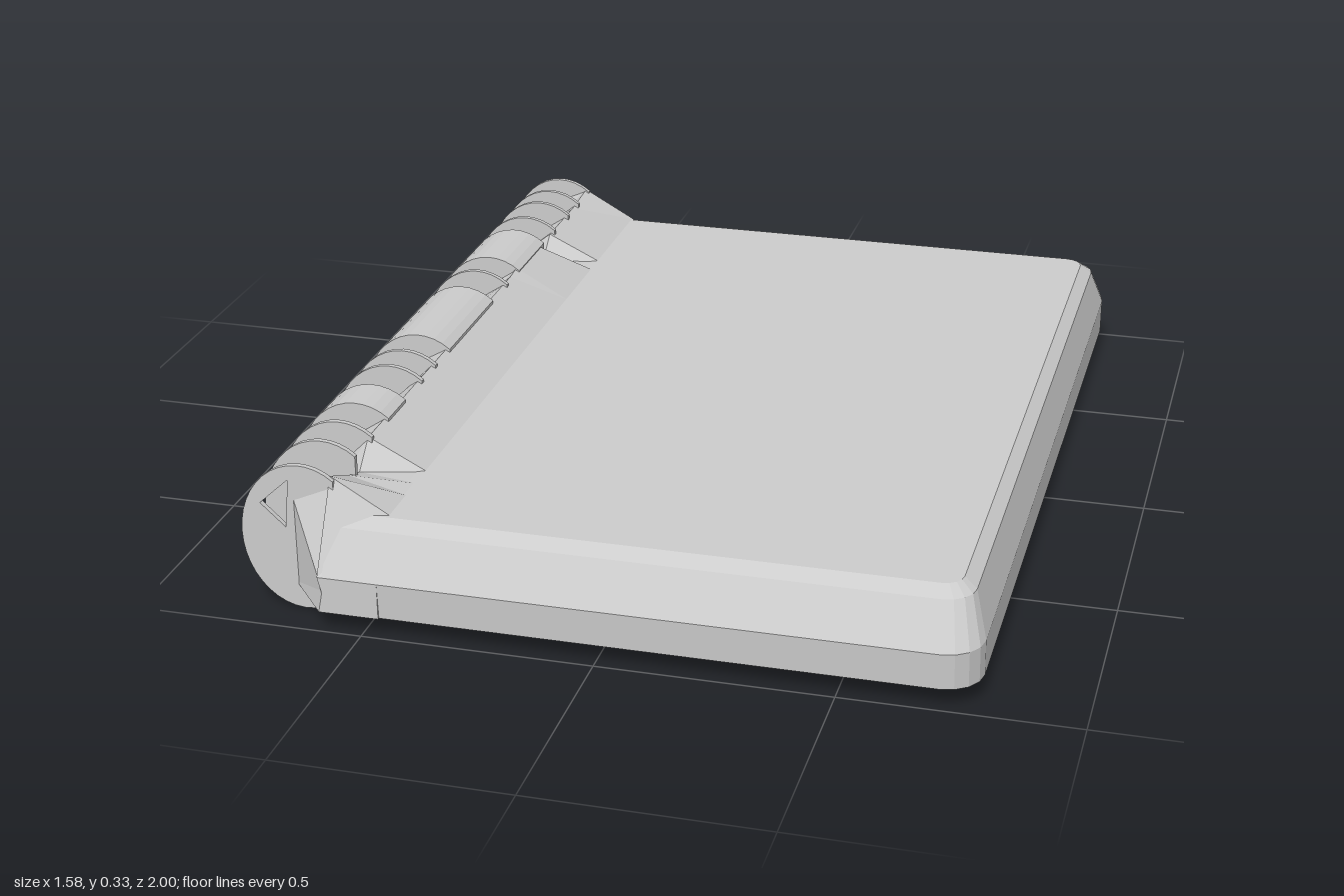
import * as THREE from 'three';

const material = new THREE.MeshStandardMaterial({ color: 0xcccccc, flatShading: true, side: THREE.DoubleSide });

function add(parent, name, geometry) {
  const mesh = new THREE.Mesh(geometry, material);
  mesh.name = name;
  parent.add(mesh);
  return mesh;
}

// Skin a list of closed rings (equal point counts) and cap both ends.
function loft(rings) {
  const n = rings[0].length;
  const points = rings.flat();
  const index = [];
  for (let i = 0; i < rings.length - 1; i++) {
    for (let j = 0; j < n; j++) {
      const a = i * n + j, b = i * n + (j + 1) % n;
      index.push(a, b, b + n, a, b + n, a + n);
    }
  }
  const last = (rings.length - 1) * n;
  for (let j = 1; j < n - 1; j++) {
    index.push(0, j + 1, j, last, last + j, last + j + 1);
  }
  const g = new THREE.BufferGeometry();
  g.setAttribute('position', new THREE.Float32BufferAttribute(points.flat(), 3));
  g.setIndex(index);
  const flat = g.toNonIndexed();
  flat.computeVertexNormals();
  return flat;
}

// Plan outline: square at the hinge, rounded at the free edge.
function slabRing(y, right, halfDepth, radius) {
  const ring = [];
  for (const side of [-1, 1]) {
    for (let k = 0; k <= 4; k++) {
      const t = (side < 0 ? k - 4 : k) / 4 * Math.PI / 2;
      ring.push([
        right - radius + radius * Math.cos(t), y,
        -side * (halfDepth - radius) - radius * Math.sin(t),
      ]);
    }
  }
  ring.push([-0.58, y, -halfDepth], [-0.58, y, halfDepth]);
  return ring;
}

// Half-round spine slice, cut flat where it meets the slab.
function spineSlice(z0, z1, holed) {
  const shape = new THREE.Shape();
  shape.absellipse(-0.655, 0.17, 0.135, 0.165, 0.98, Math.PI * 2 - 0.98, false, 0);
  shape.closePath();
  if (holed) {
    const opening = [[-0.68, 0.3], [-0.745, 0.24], [-0.69, 0.19]];
    shape.holes.push(new THREE.Path(opening.map(p => new THREE.Vector2(...p))));
  }
  const g = new THREE.ExtrudeGeometry(shape, { depth: z1 - z0, bevelEnabled: false, curveSegments: 14 });
  return g.translate(0, 0, z0);
}

export function createModel() {
  const group = new THREE.Group();

  // Flat slab with a sloped upper rim
  add(group, 'slab', loft([
    slabRing(0.05, 0.785, 0.995, 0.08),
    slabRing(0.13, 0.785, 1, 0.08),
    slabRing(0.22, 0.757, 0.94, 0.06),
    slabRing(0.24, 0.73, 0.91, 0.04),
  ]));

  // Hinge core: stations of [z, top, bottom, back x], with V notches between lobes
  const stations = [
    [-1, 0.13, 0.05, -0.58], [-0.92, 0.31, 0.01, -0.68], [-0.8, 0.3, 0.01, -0.64],
    [-0.7, 0.3, 0.045, -0.65], [-0.6, 0.3, 0.025, -0.64], [-0.54, 0.25, 0.01, -0.64],
    [-0.49, 0.31, 0.01, -0.65], [-0.33, 0.31, 0.01, -0.65], [-0.28, 0.305, 0.045, -0.63],
    [-0.22, 0.305, 0.025, -0.65], [-0.12, 0.305, 0.01, -0.66], [0.19, 0.305, 0.01, -0.66],
    [0.33, 0.305, 0.045, -0.63], [0.48, 0.305, 0.01, -0.65], [0.58, 0.305, 0.01, -0.65],
    [0.68, 0.305, 0.045, -0.63], [0.74, 0.25, 0.03, -0.64], [0.8, 0.27, 0.02, -0.64],
    [0.9, 0.315, 0.01, -0.68], [1, 0.13, 0.05, -0.58],
  ];
  add(group, 'hingeCore', loft(stations.map(([z, top, bottom, back]) => {
    const front = -0.46;
    return [
      [front, 0.05, z], [front, Math.min(0.238, top), z], [-0.59, top, z],
      [back, top - 0.04, z], [back, bottom + 0.05, z], [-0.59, bottom, z],
    ];
  })));

  // Spine: thin fins and wider barrels
  const spine = new THREE.Group();
  spine.name = 'spine';
  group.add(spine);
  for (const z of [-0.915, -0.82, -0.73, -0.615, -0.23, 0.28, 0.37, 0.68, 0.78, 0.905]) {
    add(spine, 'fin', spineSlice(z - 0.006, z + 0.006, Math.abs(z) > 0.9));
  }
  for (const [z0, z1] of [[-0.52, -0.32], [-0.12, 0.19], [0.48, 0.585]]) {
    add(spine, 'barrel', spineSlice(z0, z1, false));
  }
  return group;
}
